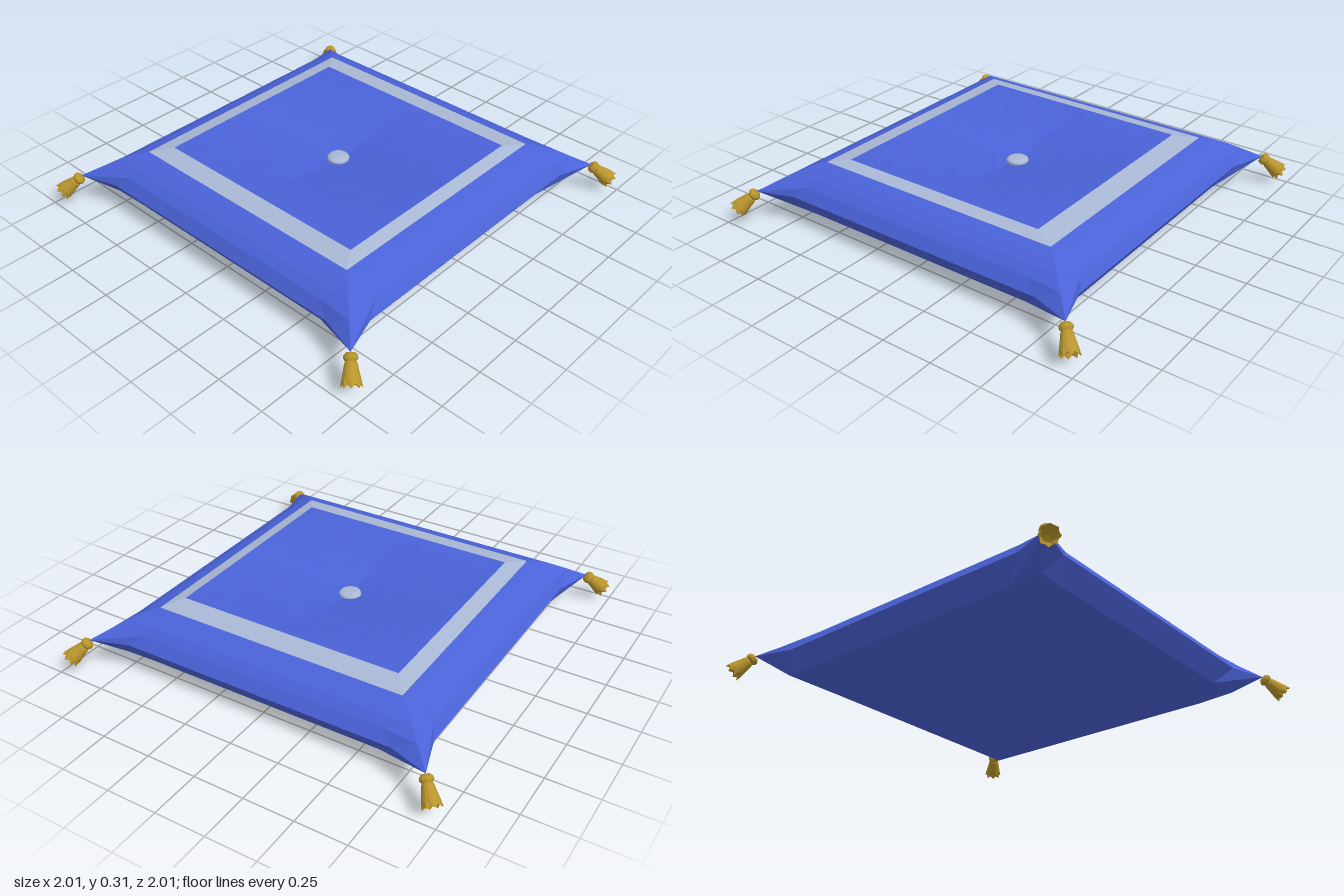
import * as THREE from 'three';

const flat = (name, color, side = THREE.FrontSide) => {
  const m = new THREE.MeshStandardMaterial({ color, side, flatShading: true });
  m.name = name;
  return m;
};

// Skin a list of rings (counterclockwise from above, listed bottom to top)
function loft(rings) {
  const n = rings[0].length;
  const index = [];
  for (let r = 0; r < rings.length - 1; r++) {
    for (let i = 0; i < n; i++) {
      const j = (i + 1) % n;
      const a = r * n + i, b = r * n + j;
      index.push(a, b, b + n, a, b + n, a + n);
    }
  }
  const g = new THREE.BufferGeometry();
  g.setAttribute('position', new THREE.Float32BufferAttribute(rings.flat(2), 3));
  g.setIndex(index);
  const out = g.toNonIndexed();
  out.computeVertexNormals();
  return out;
}

// Square ring with pointed corners: c = corner reach, m = reach of the straight sides
function pillowRing(y, c, m) {
  const e = c * 0.785;
  const ring = [];
  for (let k = 0; k < 4; k++) {
    for (let [x, z] of [[c, c], [m, e], [m, -e]]) {
      for (let t = 0; t < k; t++) [x, z] = [z, -x];
      ring.push([x, y, z]);
    }
  }
  return ring;
}

const rectRing = (y, x0, x1, z0, z1) => [[x1, y, z1], [x1, y, z0], [x0, y, z0], [x0, y, z1]];
const profile = (pts) => pts.map(([x, y]) => new THREE.Vector2(x, y));

export function createModel() {
  const model = new THREE.Group();
  const blue = flat('blue cloth', 0x4a62d8);
  const silver = flat('silver trim', 0xa9b8d4);
  const gold = flat('gold thread', 0xb8942c, THREE.DoubleSide);

  const add = (name, geometry, material, parent = model) => {
    const mesh = new THREE.Mesh(geometry, material);
    mesh.name = name;
    parent.add(mesh);
    return mesh;
  };

  // Underside and rounded flanks of the cushion
  add('cushionBody', loft([
    pillowRing(0, 0, 0),
    pillowRing(0, 0.65, 0.65),
    pillowRing(0.065, 0.77, 0.765),
    pillowRing(0.16, 0.893, 0.83),
    pillowRing(0.215, 0.81, 0.795),
    pillowRing(0.25, 0.755, 0.755),
    pillowRing(0.275, 0.705, 0.705),
    pillowRing(0.29, 0.65, 0.65),
  ]), blue);

  // Trim band around the top
  const [x0, x1, z0, z1] = [-0.57, 0.585, -0.54, 0.555];
  add('trimBand', loft([
    rectRing(0.29, -0.65, 0.65, -0.65, 0.65),
    rectRing(0.305, x0, x1, z0, z1),
  ]), silver);

  // Top panel, pulled down towards the button
  const w = x1 - x0, d = z1 - z0;
  let panel = new THREE.PlaneGeometry(w, d, 8, 8).rotateX(-Math.PI / 2);
  const p = panel.attributes.position;
  for (let i = 0; i < p.count; i++) {
    const dip = (1 - Math.abs(p.getX(i)) * 2 / w) * (1 - Math.abs(p.getZ(i)) * 2 / d);
    p.setY(i, 0.305 - 0.085 * dip);
  }
  panel.translate((x0 + x1) / 2, 0, (z0 + z1) / 2);
  panel.computeVertexNormals();
  add('topPanel', panel, blue);

  // Button in the middle
  add('button', new THREE.LatheGeometry(profile([
    [0.035, 0.205], [0.04, 0.222], [0.054, 0.228], [0.055, 0.237], [0.05, 0.244], [0.037, 0.25], [0, 0.252],
  ]), 16), silver);

  // Tassels: a knot and a flared skirt with a ragged hem, hanging out from each corner
  const head = new THREE.LatheGeometry(profile([
    [0, -0.018], [0.018, -0.016], [0.03, -0.004], [0.031, 0.008], [0.022, 0.021],
  ]), 12);
  const hem = 4;
  const skirt = new THREE.LatheGeometry(profile([
    [0.022, 0.018], [0.027, 0.028], [0.032, 0.055], [0.04, 0.09], [0.046, 0.122], [0.03, 0.1], [0, 0.095],
  ]), 16);
  const s = skirt.attributes.position;
  for (let i = 0; i < s.count; i++) {
    const step = Math.floor(i / 7) % 16;
    if (i % 7 === hem && step % 2) {
      s.setXYZ(i, s.getX(i) * 0.86, s.getY(i) - 0.014, s.getZ(i) * 0.86);
    }
  }
  for (const sx of [-1, 1]) {
    for (const sz of [-1, 1]) {
      const tassel = new THREE.Group();
      tassel.name = 'tassel';
      add('tasselKnot', head, gold, tassel);
      add('tasselSkirt', skirt, gold, tassel);
      tassel.position.set(sx * 0.9, 0.145, sz * 0.9);
      const out = new THREE.Vector3(sx * 0.065, -0.078, sz * 0.065).normalize();
      tassel.quaternion.setFromUnitVectors(new THREE.Vector3(0, 1, 0), out);
      model.add(tassel);
    }
  }
  return model;
}
